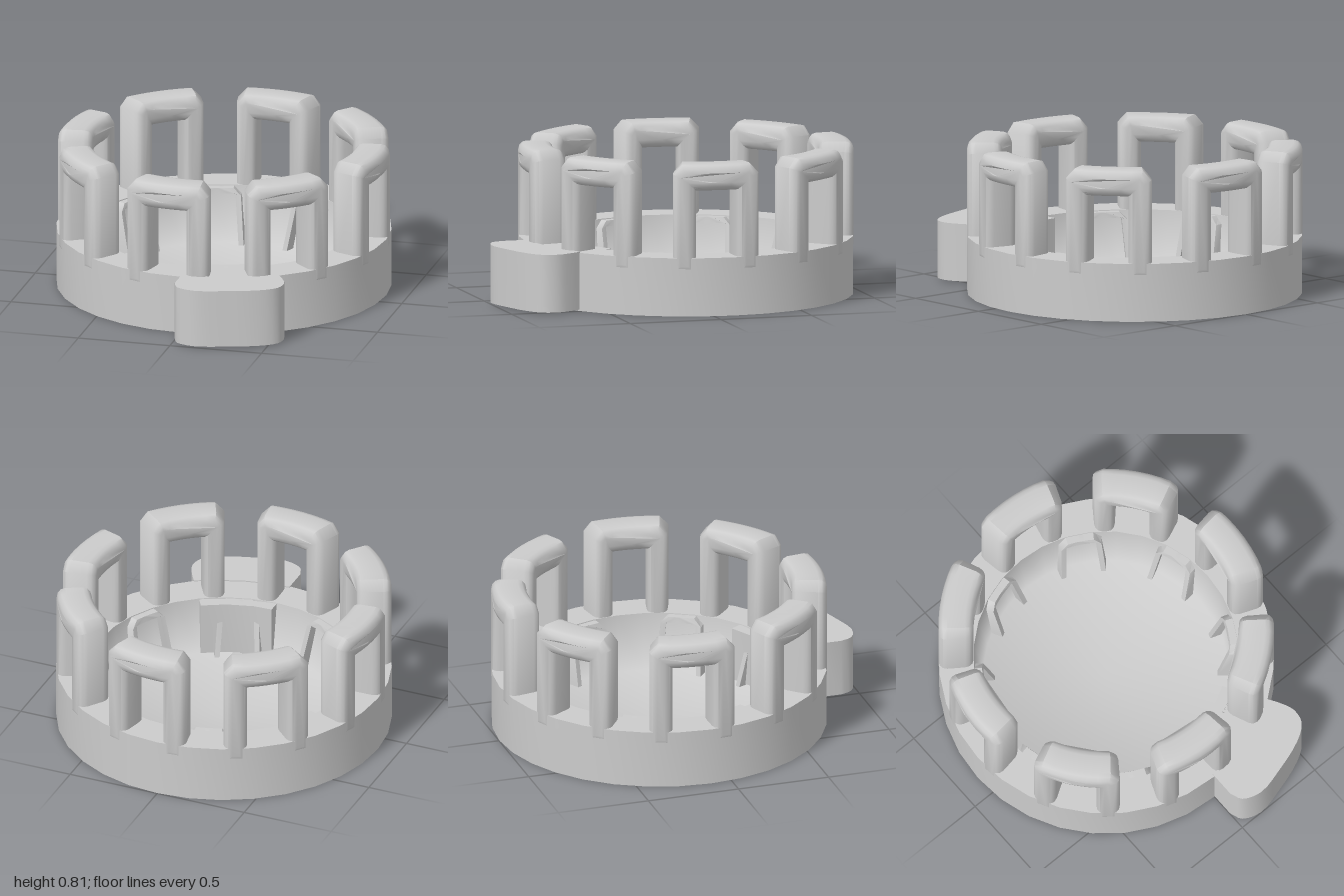
import * as THREE from 'three';
import { toCreasedNormals } from 'three/addons/utils/BufferGeometryUtils.js';

const CZ = -0.1125; // centre of the ring
const R = 0.885, RIN = 0.7, TOP = 0.31;
const mat = new THREE.MeshStandardMaterial({ color: 0xcccccc, side: THREE.DoubleSide });
const shapeOf = (pts) => new THREE.Shape(pts.map(([x, y]) => new THREE.Vector2(x, y)));

function add(parent, name, geometry) {
  const mesh = new THREE.Mesh(geometry, mat);
  mesh.name = name;
  parent.add(mesh);
  return mesh;
}

// Wraps a flat geometry around the y axis: x becomes arc length, z (plus an offset) the radius
function bend(geometry, radius, offsetAt) {
  const p = geometry.attributes.position;
  for (let i = 0; i < p.count; i++) {
    const a = p.getX(i) / radius, r = p.getZ(i) + offsetAt(p.getY(i));
    p.setXYZ(i, r * Math.sin(a), p.getY(i), r * Math.cos(a));
  }
  return geometry;
}

// Upside-down U outline, sampled along the lintel so that it bends smoothly
function archShape(wBottom, wTop, leg, y0, yOpen, yTop, chamfer) {
  const n = 6, pts = [];
  const o = wBottom / 2, t = wTop / 2, c = t - chamfer, iB = o - leg, iT = t - leg;
  pts.push([o, y0], [t, yTop - chamfer]);
  for (let i = 0; i <= n; i++) pts.push([c - (2 * c * i) / n, yTop]);
  pts.push([-t, yTop - chamfer], [-o, y0], [-iB, y0]);
  for (let i = 0; i <= n; i++) pts.push([-iT + (2 * iT * i) / n, yOpen]);
  pts.push([iB, y0]);
  return shapeOf(pts);
}

// Vertical prism from a plan outline given as [x, z]
function prism(plan, y0, y1) {
  const shape = shapeOf(plan.map(([x, z]) => [x, -z]));
  const g = new THREE.ExtrudeGeometry(shape, { depth: y1 - y0, bevelEnabled: false });
  return toCreasedNormals(g.rotateX(-Math.PI / 2).translate(0, y0, 0), 0.7);
}

export function createModel() {
  const model = new THREE.Group();
  const ring = new THREE.Group();
  ring.name = 'ring';
  ring.position.z = CZ;
  model.add(ring);

  // Outer wall with flat rim, open underneath
  const v = (x, y) => new THREE.Vector2(x, y);
  add(ring, 'outerWall', toCreasedNormals(
    new THREE.LatheGeometry([v(R, 0), v(R, TOP), v(RIN, TOP)], 32).toNonIndexed(), 0.7));

  // Inner bowl with tapered side and floor
  add(ring, 'bowl', new THREE.LatheGeometry([v(RIN, TOP), v(0.65, 0.006), v(0, 0.006)], 32));

  // Large rounded arches on the rim
  const bevel = 0.045;
  const archGeometry = toCreasedNormals(bend(new THREE.ExtrudeGeometry(
    archShape(0.485, 0.485, 0.13, 0.22, 0.665, 0.805, 0.05),
    {
      depth: R - RIN - 2 * bevel, bevelSize: bevel, bevelThickness: bevel,
      bevelOffset: -bevel, bevelSegments: 3,
    }), R, () => RIN + bevel), 0.8);

  // Thin arches on the bowl side, leaning with its taper
  const trimGeometry = toCreasedNormals(bend(new THREE.ExtrudeGeometry(
    archShape(0.27, 0.22, 0.03, 0.01, 0.275, 0.305, 0.04),
    { depth: 0.065, bevelEnabled: false }), 0.66, (y) => 0.585 + 0.24 * y), 0.7);

  for (let i = 0; i < 8; i++) {
    const a = THREE.MathUtils.degToRad(-6 + 45 * i);
    add(ring, 'arch', archGeometry).rotation.y = a;
    add(ring, 'innerTrimArch', trimGeometry).rotation.y = a + Math.PI / 8;
  }

  // Rounded block on the outside of the wall
  const outline = new THREE.CatmullRomCurve3([
    [0, 0.9], [0.03, 0.965], [0.13, 1.0], [0.28, 0.968], [0.46, 0.905],
    [0.545, 0.84], [0.56, 0.76], [0.53, 0.685], [0.49, 0.62],
  ].map(([x, z]) => new THREE.Vector3(x, 0, z)), false, 'centripetal')
    .getPoints(24).map((p) => [p.x, p.z]);
  const seam = [0.36, 0.24, 0.12, 0].map((x) => [x, CZ + Math.sqrt(0.87 ** 2 - x * x)]);
  add(model, 'outerBlock', prism([...outline, ...seam], 0.008, 0.316));

  // Block passing through the wall, ending in a plate inside the bowl
  add(model, 'throughBlock', prism(
    [[0, 0.59], [0.2, 0.545], [0.395, 0.47], [0.47, 0.6], [0.36, 0.67], [0.18, 0.73], [0, 0.75]], 0.015, 0.3));
  add(model, 'innerPlate', prism(
    [[0, 0.52], [0.1, 0.515], [0.24, 0.475], [0.36, 0.41], [0.395, 0.47], [0.2, 0.55], [0, 0.59]], 0.015, 0.305));

  return model;
}
